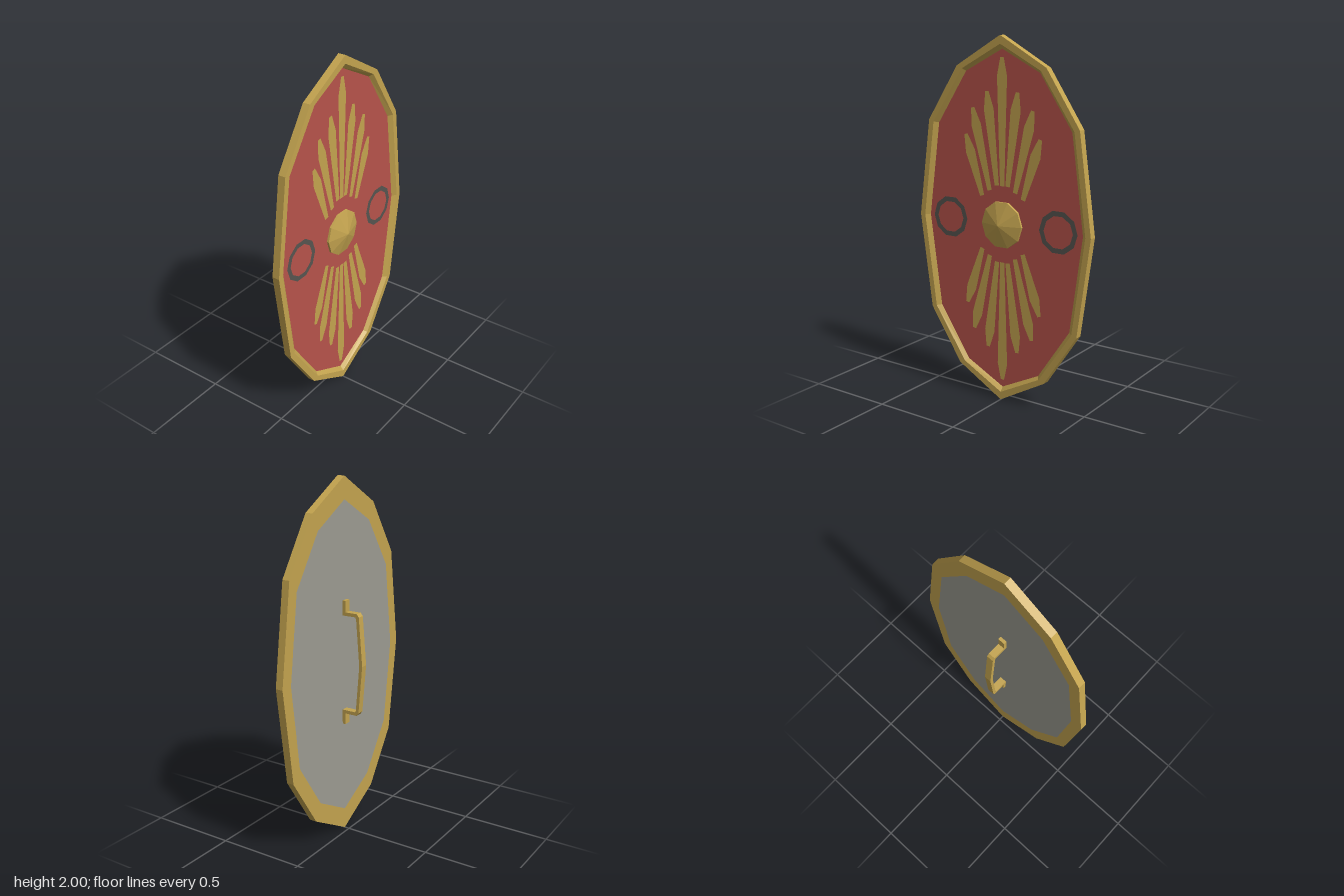
import * as THREE from 'three';

const gold = new THREE.MeshStandardMaterial({ color: 0xc4a44f });
const red = new THREE.MeshStandardMaterial({ color: 0xb7534b });
const grey = new THREE.MeshStandardMaterial({ color: 0x9c9b91 });
const charcoal = new THREE.MeshStandardMaterial({ color: 0x575550 });
gold.name = 'gold';
red.name = 'red';
grey.name = 'grey';
charcoal.name = 'charcoal';

const BACK = 0.028, FRONT = 0.07, PANEL = 0.05, PAINT = 0.0525;

// Mirrors four points of one quarter into a closed 12-sided outline, counter-clockwise
function outline(q) {
  const half = [...q, ...q.slice(0, 3).reverse().map(([x, y]) => [-x, y])];
  const lower = half.slice(1, -1).reverse().map(([x, y]) => [x, -y]);
  return [...half, ...lower].map(([x, y]) => new THREE.Vector2(x, y + 1));
}

const outer = outline([[0.557, 0], [0.483, 0.54], [0.284, 0.84], [0, 1]]);
const lip = outline([[0.525, 0], [0.452, 0.53], [0.25, 0.825], [0, 0.955]]);
const inner = outline([[0.5, 0], [0.428, 0.525], [0.236, 0.812], [0, 0.93]]);
const backInner = outline([[0.487, 0], [0.425, 0.473], [0.24, 0.747], [0, 0.88]]);

// Flat-shaded skin between successive outlines
function skin(loops) {
  const pos = [];
  for (let k = 0; k < loops.length - 1; k++) {
    const [a, za] = loops[k], [b, zb] = loops[k + 1];
    for (let i = 0; i < a.length; i++) {
      const j = (i + 1) % a.length;
      const A = [a[i].x, a[i].y, za], B = [a[j].x, a[j].y, za];
      const C = [b[j].x, b[j].y, zb], D = [b[i].x, b[i].y, zb];
      pos.push(...A, ...B, ...C, ...A, ...C, ...D);
    }
  }
  const g = new THREE.BufferGeometry();
  g.setAttribute('position', new THREE.Float32BufferAttribute(pos, 3));
  g.computeVertexNormals();
  return g;
}

function faceted(geo) {
  const g = geo.index ? geo.toNonIndexed() : geo;
  g.computeVertexNormals();
  return g;
}

export function createModel() {
  const model = new THREE.Group();
  model.name = 'shield';
  const add = (name, geo, mat, parent = model) => {
    const m = new THREE.Mesh(geo, mat);
    m.name = name;
    parent.add(m);
    return m;
  };

  // Rim: back border, outer wall, front face and inner bevel
  add('rim', skin([[backInner, BACK], [outer, BACK], [outer, FRONT], [lip, FRONT], [inner, PANEL]]), gold);

  // Front and back panels
  add('frontPanel', new THREE.ShapeGeometry(new THREE.Shape(inner)), red).position.z = PANEL;
  const back = add('backPanel', new THREE.ShapeGeometry(new THREE.Shape(backInner)), grey);
  back.rotation.y = Math.PI;
  back.position.z = BACK;

  // Central boss
  const bossProfile = [[0.13, PANEL], [0.13, 0.062], [0, 0.0975]].map(p => new THREE.Vector2(...p));
  const boss = add('boss', faceted(new THREE.LatheGeometry(bossProfile, 10, Math.PI / 2).rotateX(Math.PI / 2)), gold);
  boss.position.y = 1;

  // Painted rings on either side
  for (const [side, name] of [[1, 'leftRing'], [-1, 'rightRing']]) {
    add(name, new THREE.RingGeometry(0.089, 0.117, 10), charcoal).position.set(side * 0.353, 1.003, PAINT);
  }

  // Painted rays: base x, y and tip x, y measured from the shield centre
  const rays = new THREE.Group();
  rays.name = 'rays';
  model.add(rays);
  const rayLines = [
    [0, 0.21, 0, 0.887],
    [0.035, 0.21, 0.098, 0.71],
    [0.083, 0.18, 0.193, 0.62],
    [0.133, 0.147, 0.24, 0.475],
  ];
  const addRay = (x0, y0, x1, y1) => {
    const len = Math.hypot(x1 - x0, y1 - y0), s = len - 0.095;
    const shape = new THREE.Shape([
      [0.014, 0], [0.032, s], [0.011, len], [-0.011, len], [-0.032, s], [-0.014, 0],
    ].map(p => new THREE.Vector2(...p)));
    const ray = add('ray', new THREE.ShapeGeometry(shape), gold, rays);
    ray.position.set(x0, 1 + y0, PAINT);
    ray.rotation.z = Math.atan2(y1 - y0, x1 - x0) - Math.PI / 2;
  };
  for (const [x0, y0, x1, y1] of rayLines) {
    for (const v of [1, -1]) {
      for (const h of x1 > 0 ? [1, -1] : [1]) addRay(h * x0, v * y0, h * x1, v * y1);
    }
  }

  // Grip: side profile (depth behind the centre plane, height), mirrored top to bottom
  const outside = [[-BACK, 0.35], [-0.01, 0.35], [-0.01, 0.287], [0.062, 0.287], [0.075, 0.27], [0.0975, 0]];
  const inside = [[0.079, 0], [0.058, 0.258], [0.052, 0.268], [-BACK, 0.268]];
  const flip = pts => pts.filter(p => p[1] > 0).reverse().map(([d, y]) => [d, -y]);
  const profile = [...outside, ...flip(outside), ...flip(inside), ...inside];
  const gripShape = new THREE.Shape(profile.map(([d, y]) => new THREE.Vector2(d, y)));
  const grip = new THREE.ExtrudeGeometry(gripShape, { depth: 0.04, bevelEnabled: false });
  grip.rotateY(Math.PI / 2).translate(-0.02, 1, 0);
  add('grip', faceted(grip), gold);

  return model;
}
